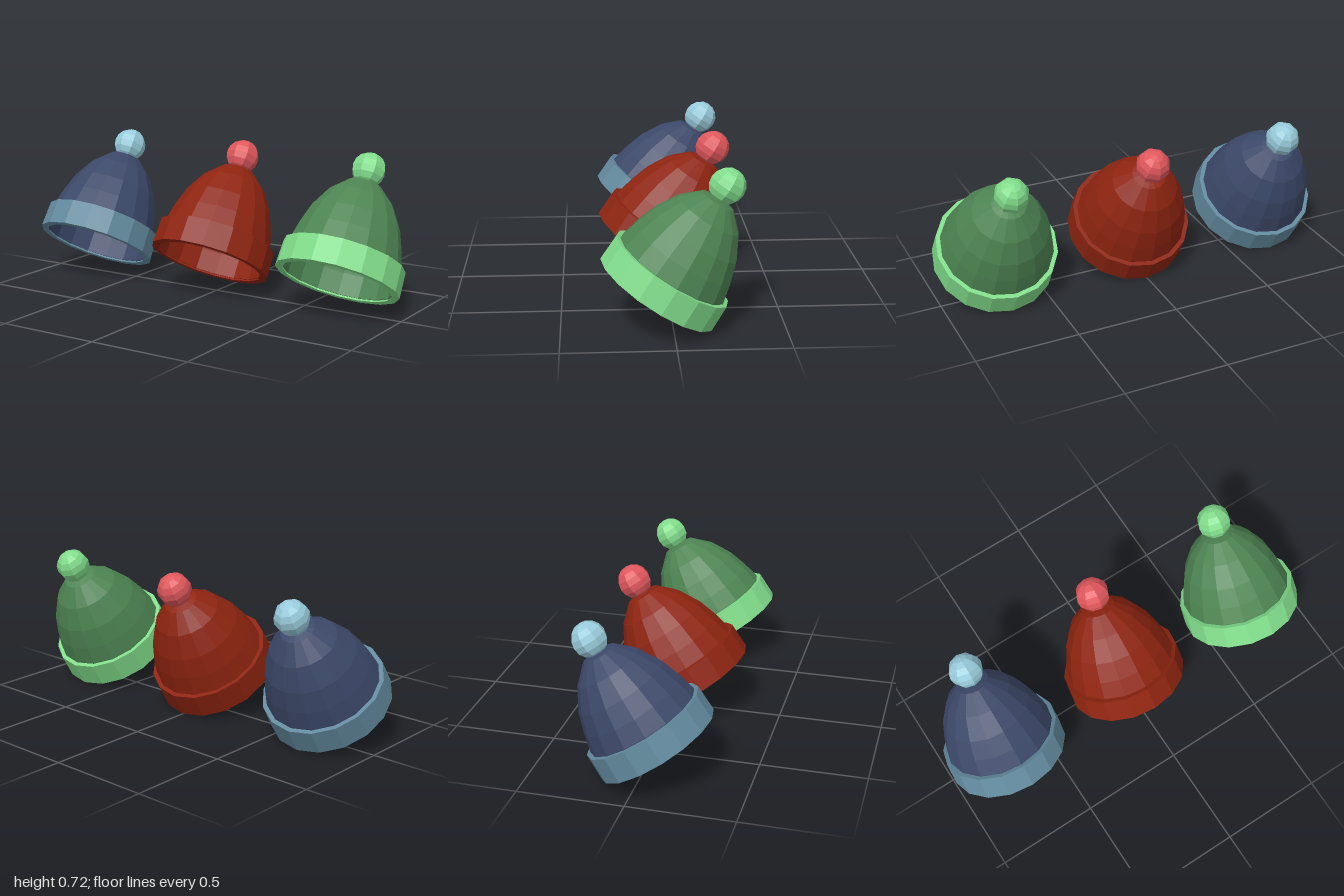
import * as THREE from 'three';

const SIDES = 16;
const TILT = -0.567;

const flat = (color) => new THREE.MeshStandardMaterial({ color, flatShading: true });

function lathe(name, profile, color) {
  const points = profile.map(([r, h]) => new THREE.Vector2(r, h));
  const mesh = new THREE.Mesh(new THREE.LatheGeometry(points, SIDES), flat(color));
  mesh.name = name;
  return mesh;
}

function createHat(name, x, crownColor, cuffColor, pomColor) {
  const hat = new THREE.Group();
  hat.name = name;

  // Knitted crown: outer shell up to the tip, then the lining back down
  const outer = [[0.275, 0.01], [0.272, 0.13], [0.251, 0.217], [0.219, 0.312], [0.16, 0.416], [0.081, 0.493]];
  const lining = outer.map(([r, h], i) => [r - 0.014, i ? h - 0.012 : h]).reverse();
  hat.add(lathe('crown', [...outer, [0, 0.513], [0, 0.5], ...lining, outer[0]], crownColor));

  // Folded cuff: a closed ring around the opening
  hat.add(lathe('cuff', [
    [0.262, 0], [0.297, 0], [0.293, 0.127], [0.268, 0.127], [0.268, 0.012], [0.262, 0],
  ], cuffColor));

  // Pompom
  const pom = new THREE.Mesh(new THREE.SphereGeometry(0.083, 8, 8), flat(pomColor));
  pom.name = 'pompom';
  pom.position.y = 0.57;
  hat.add(pom);

  // Leaning back so that the opening faces forward
  hat.rotation.x = TILT;
  hat.position.set(x, 0.162, 0.069);
  return hat;
}

export function createModel() {
  const model = new THREE.Group();
  model.name = 'bobbleHats';
  model.add(
    createHat('blueHat', -0.702, 0x3c4869, 0x628a9e, 0x98cbdb),
    createHat('redHat', 0, 0x8e2410, 0x8e2410, 0xe0575c),
    createHat('greenHat', 0.702, 0x4d8452, 0x80dc8a, 0x80dc8a),
  );
  return model;
}
